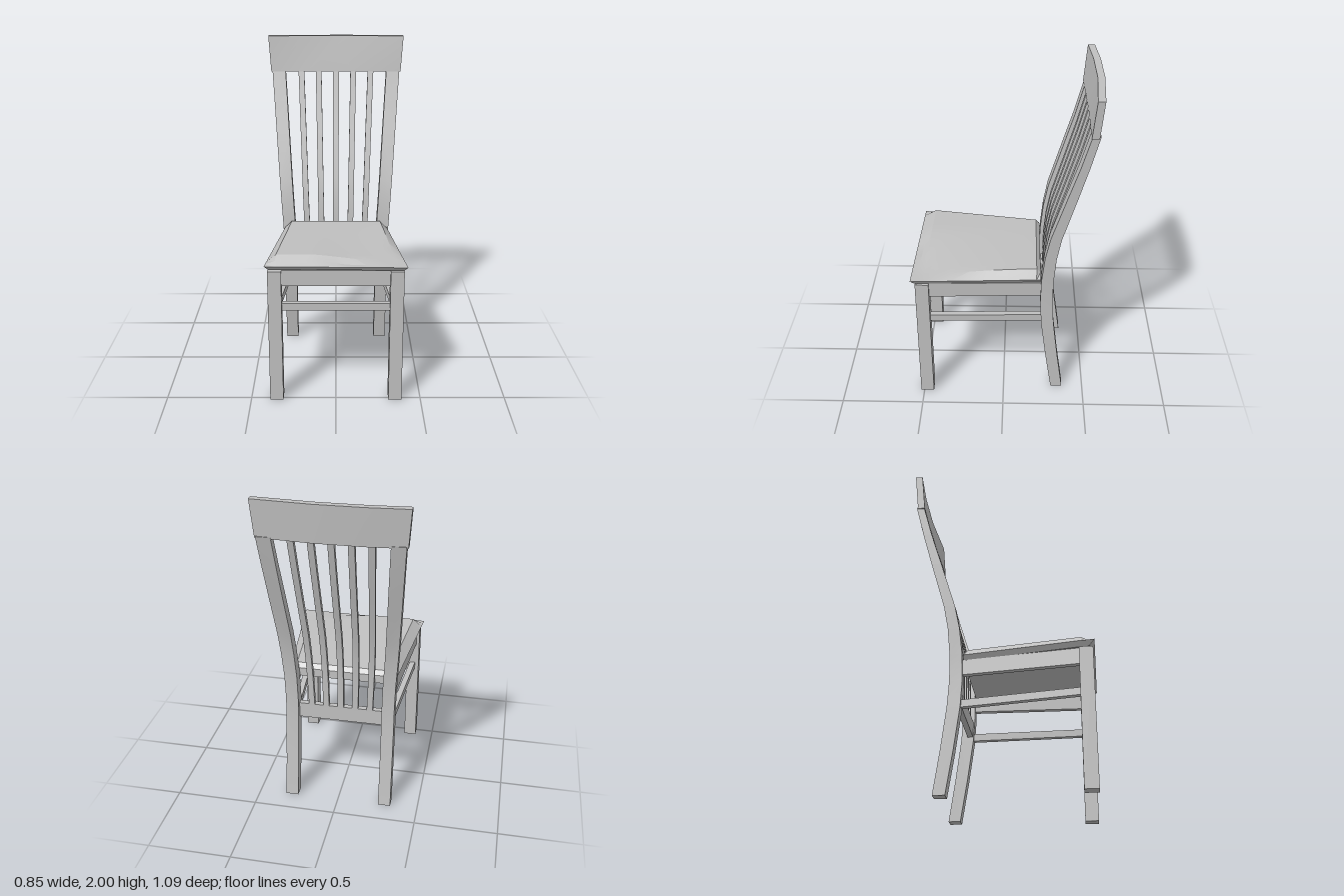
import * as THREE from 'three';
import { toCreasedNormals } from 'three/addons/utils/BufferGeometryUtils.js';

const grey = new THREE.MeshStandardMaterial({ color: 0xc0c0c0 });
grey.name = 'plain grey';

// Joins closed rings of [x, y, z] points into a capped solid
function loft(name, rings) {
  const n = rings[0].length, pts = rings.flat(), idx = [];
  for (let r = 0; r < rings.length - 1; r++) {
    for (let i = 0; i < n; i++) {
      const a = r * n + i, b = r * n + (i + 1) % n;
      idx.push(a, b, b + n, a, b + n, a + n);
    }
  }
  const last = (rings.length - 1) * n;
  for (let i = 1; i < n - 1; i++) idx.push(0, i + 1, i, last, last + i, last + i + 1);
  // Turn the faces outwards if the enclosed volume is negative
  let vol = 0;
  const [a, b, c] = [0, 1, 2].map(() => new THREE.Vector3());
  for (let i = 0; i < idx.length; i += 3) {
    a.fromArray(pts[idx[i]]); b.fromArray(pts[idx[i + 1]]); c.fromArray(pts[idx[i + 2]]);
    vol += a.dot(b.cross(c));
  }
  if (vol < 0) idx.reverse();
  const g = new THREE.BufferGeometry();
  g.setAttribute('position', new THREE.Float32BufferAttribute(pts.flat(), 3));
  g.setIndex(idx);
  const mesh = new THREE.Mesh(toCreasedNormals(g, 0.45), grey);
  mesh.name = name;
  return mesh;
}

// Horizontal ring for uprights, and upright ring (facing z) for side rails
const flatRing = (x0, x1, y, z0, z1) => [[x0, y, z0], [x1, y, z0], [x1, y, z1], [x0, y, z1]];
const sideRing = (x0, x1, y0, y1, z) => [[x0, y0, z], [x1, y0, z], [x1, y1, z], [x0, y1, z]];

function box(name, x0, x1, y0, y1, z0, z1) {
  return loft(name, [flatRing(x0, x1, y0, z0, z1), flatRing(x0, x1, y1, z0, z1)]);
}

// Curve of the back: height, front z, rear z
const backCurve = [
  [0, -0.3, -0.37], [0.25, -0.262, -0.335], [0.5, -0.23, -0.305], [0.66, -0.221, -0.295],
  [0.82, -0.225, -0.297], [0.98, -0.242, -0.31], [1.12, -0.27, -0.335],
  [1.4, -0.357, -0.415], [1.6, -0.42, -0.47], [1.79, -0.472, -0.517],
];

// Cushion outline: one cross-section per station along z
function seat() {
  const rings = [];
  const N = 14, stations = [0, 0.03, 0.1, 0.25, 0.4, 0.55, 0.7, 0.82, 0.9, 0.95, 1];
  for (const v of stations) {
    const half = 0.325 + 0.08 * v;
    const frontRise = v > 0.9 ? 1 - (v - 0.9) / 0.1 : 1;
    const backRise = Math.min(1, 0.5 + v / 0.06);
    const bottom = 0.79 + 0.032 * v, rim = bottom + 0.027;
    const ring = [];
    const zAt = (u) => -0.22 + v * (0.757 + 0.008 * u);
    for (let i = 0; i <= N; i++) {
      const u = -1 + (2 * i) / N;
      const edge = Math.min(1, (1 - Math.abs(u)) / 0.14);
      // The front left corner of the cushion sinks lower
      const sink = 0.055 * Math.max(0, u + 0.25) * v * v;
      const crown = 0.05 * Math.min(frontRise, backRise) * edge;
      ring.push([u * half, rim + Math.max(0.002, crown - sink * edge), zAt(u)]);
    }
    const inset = v === 1 ? 0.03 : 0;
    ring.push([half - 0.02, bottom, zAt(1) - inset], [-half + 0.02, bottom, zAt(-1) - inset]);
    rings.push(ring);
  }
  return loft('seatCushion', rings);
}

export function createModel() {
  const chair = new THREE.Group();
  chair.name = 'diningChair';
  chair.add(seat());

  for (const s of [-1, 1]) {
    const side = s > 0 ? 'left' : 'right';
    // Straight front leg
    chair.add(box(side + 'FrontLeg', s * 0.31, s * 0.388, 0, 0.815, 0.44, 0.52));
    // Curved rear leg running up into the back post
    chair.add(loft(side + 'BackPost', backCurve.map(([y, zf, zr]) => {
      const lean = Math.max(0, (y - 0.75) / 1.04);
      return flatRing(s * (0.256 + 0.064 * lean), s * (0.332 + 0.071 * lean), y, zr, zf);
    })));
    // Side apron and stretcher, sloping slightly to the rear
    chair.add(loft(side + 'Apron', [
      sideRing(s * 0.335, s * 0.37, 0.72, 0.815, 0.45), sideRing(s * 0.28, s * 0.315, 0.7, 0.79, -0.23)]));
    chair.add(loft(side + 'Stretcher', [
      sideRing(s * 0.33, s * 0.365, 0.537, 0.58, 0.45), sideRing(s * 0.275, s * 0.31, 0.506, 0.55, -0.24)]));
  }

  // Cross rails
  chair.add(box('frontApron', -0.315, 0.315, 0.72, 0.815, 0.465, 0.5));
  chair.add(box('frontStretcher', -0.315, 0.315, 0.565, 0.61, 0.46, 0.495));
  chair.add(box('rearRail', -0.262, 0.262, 0.525, 0.622, -0.266, -0.232));

  // Five fanned slats following the back curve
  for (let i = -2; i <= 2; i++) {
    chair.add(loft('backSlat', backCurve.slice(3).map(([y, zf, zr], k) => {
      const h = k === 0 ? 0.61 : y;
      const t = (h - 0.61) / 1.18, x = i * (0.089 + 0.021 * t), z = (zf + zr) / 2 + 0.005;
      return flatRing(x - 0.018, x + 0.018, h, z - 0.014, z + 0.014);
    })));
  }

  // Crest rail, bowed gently to the rear
  chair.add(loft('crestRail', [-1, -0.45, 0.2, 1].map((u) => {
    const bow = 0.022 * (1 - u * u);
    return [
      [u * 0.41, 1.78, -0.466 - bow * 0.3], [u * 0.426, 2, -0.486 - bow],
      [u * 0.426, 2, -0.527 - bow], [u * 0.41, 1.78, -0.508 - bow],
    ];
  })));
  return chair;
}
